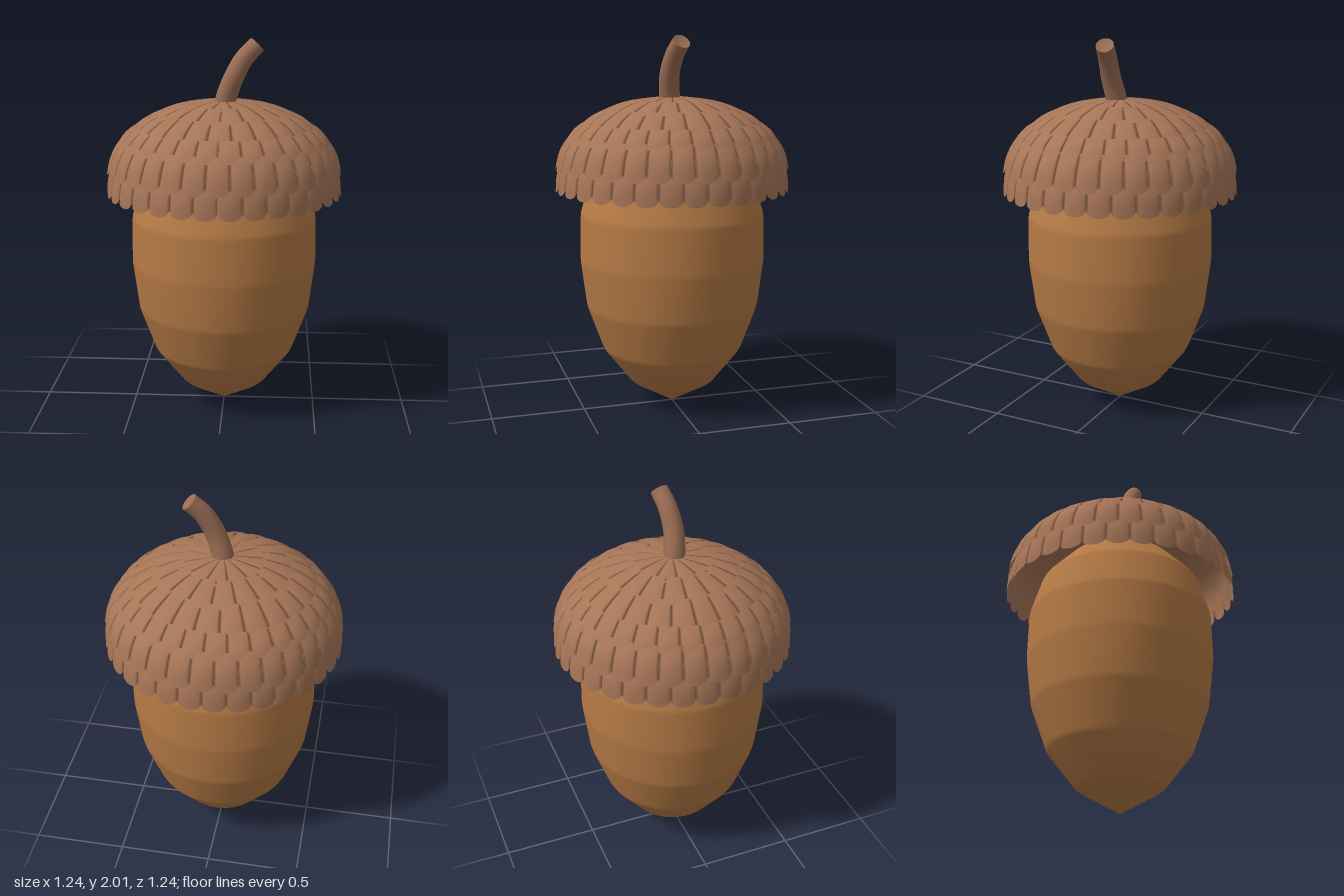
import * as THREE from 'three';
import { ParametricGeometry } from 'three/addons/geometries/ParametricGeometry.js';

const material = (name, color, side = THREE.FrontSide) => {
  const m = new THREE.MeshStandardMaterial({ color, side });
  m.name = name;
  return m;
};

function addMesh(group, name, geometry, mat) {
  const mesh = new THREE.Mesh(geometry, mat);
  mesh.name = name;
  group.add(mesh);
  return mesh;
}

// Double the profile corners, so each band of the nut stays straight with a soft edge
function bandedProfile(points) {
  const p = points.map(([x, y]) => new THREE.Vector2(x, y));
  const out = [p[0]];
  for (let i = 1; i < p.length - 1; i++) {
    out.push(p[i].clone().lerp(p[i - 1], 0.06), p[i].clone().lerp(p[i + 1], 0.06));
  }
  out.push(p[p.length - 1]);
  return out;
}

// One ring of overlapping scales with a scalloped lower edge
function scaleRow({ top, bottom, count, shift, depth, belly, puff }) {
  const surface = (u, v, target) => {
    const f = (u * count + shift) % 1;
    const scallop = Math.sqrt(Math.max(0, 1 - (2 * f - 1) ** 2));
    const w = (1 - v) * (1 - depth * (1 - scallop));
    const swell = belly * Math.sin(Math.PI * w) + puff * (scallop - 1) * Math.sin(Math.PI * w * 0.85);
    const r = THREE.MathUtils.lerp(top[0], bottom[0], w) + swell * 0.75;
    const y = THREE.MathUtils.lerp(top[1], bottom[1], w) + swell * 0.5;
    const a = u * Math.PI * 2;
    target.set(Math.max(r, 0.004) * Math.sin(a), y, Math.max(r, 0.004) * Math.cos(a));
  };
  return new ParametricGeometry(surface, count * 10, 10);
}

export function createModel() {
  const model = new THREE.Group();
  model.name = 'acorn';
  const nutBrown = material('nut brown', 0xb57a45);
  const capBrown = material('cap brown', 0xa67557, THREE.DoubleSide);
  const stemBrown = material('stem brown', 0x9a6d54);

  // Nut
  const nutProfile = bandedProfile([
    [0, 0], [0.23, 0.135], [0.378, 0.325], [0.465, 0.565], [0.497, 0.82],
    [0.492, 1.07], [0.43, 1.27], [0.28, 1.43], [0, 1.5],
  ]);
  addMesh(model, 'nut', new THREE.LatheGeometry(nutProfile, 48), nutBrown);

  // Cap: scale rows from the rim up to the crown
  const cap = new THREE.Group();
  cap.name = 'cap';
  model.add(cap);
  const rows = [
    { top: [0.59, 1.36], bottom: [0.622, 1.195], count: 32, depth: 0.22, belly: 0.012, puff: 0.016 },
    { top: [0.54, 1.49], bottom: [0.62, 1.31], count: 32, depth: 0.2, belly: 0.02, puff: 0.016 },
    { top: [0.47, 1.555], bottom: [0.563, 1.458], count: 30, depth: 0.2, belly: 0.012, puff: 0.012 },
    { top: [0.34, 1.628], bottom: [0.492, 1.532], count: 24, depth: 0.2, belly: 0.014, puff: 0.012 },
    { top: [0.2, 1.672], bottom: [0.37, 1.614], count: 18, depth: 0.22, belly: 0.01, puff: 0.01 },
    { top: [0, 1.692], bottom: [0.24, 1.662], count: 12, depth: 0.22, belly: 0.008, puff: 0.008 },
  ];
  rows.forEach((row, i) => {
    addMesh(cap, `scaleRow${i + 1}`, scaleRow({ ...row, shift: (i % 2) * 0.5 }), capBrown);
  });

  // Smooth inside of the cap
  const lining = new THREE.SplineCurve([
    [0.592, 1.25], [0.565, 1.38], [0.44, 1.53], [0.22, 1.63], [0.005, 1.66],
  ].map(([x, y]) => new THREE.Vector2(x, y))).getPoints(14);
  addMesh(cap, 'capLining', new THREE.LatheGeometry(lining, 48), capBrown);

  // Stem: a bent tube, tapering towards its end
  const path = new THREE.CatmullRomCurve3([
    [0, 1.6, 0.01], [0.01, 1.69, 0.017], [0.048, 1.8, 0.028], [0.105, 1.905, 0.018], [0.172, 1.975, 0],
  ].map((p) => new THREE.Vector3(...p)));
  const steps = 20, sides = 20, radius = 0.058;
  const tube = new THREE.TubeGeometry(path, steps, radius, sides);
  const pos = tube.attributes.position;
  const v = new THREE.Vector3();
  for (let i = 0; i < pos.count; i++) {
    const t = Math.floor(i / (sides + 1)) / steps;
    const centre = path.getPointAt(t);
    v.fromBufferAttribute(pos, i).sub(centre).multiplyScalar(1 - 0.2 * t).add(centre);
    pos.setXYZ(i, v.x, v.y, v.z);
  }
  addMesh(model, 'stem', tube, stemBrown);

  // Cut end of the stem, slightly hollow
  const cut = new THREE.LatheGeometry(
    [[0, -0.01], [0.03, -0.007], [radius * 0.8, 0]].map(([x, y]) => new THREE.Vector2(x, y)).reverse(), sides);
  const end = addMesh(model, 'stemEnd', cut, stemBrown);
  end.position.copy(path.getPointAt(1));
  end.quaternion.setFromUnitVectors(new THREE.Vector3(0, 1, 0), path.getTangentAt(1));

  return model;
}
